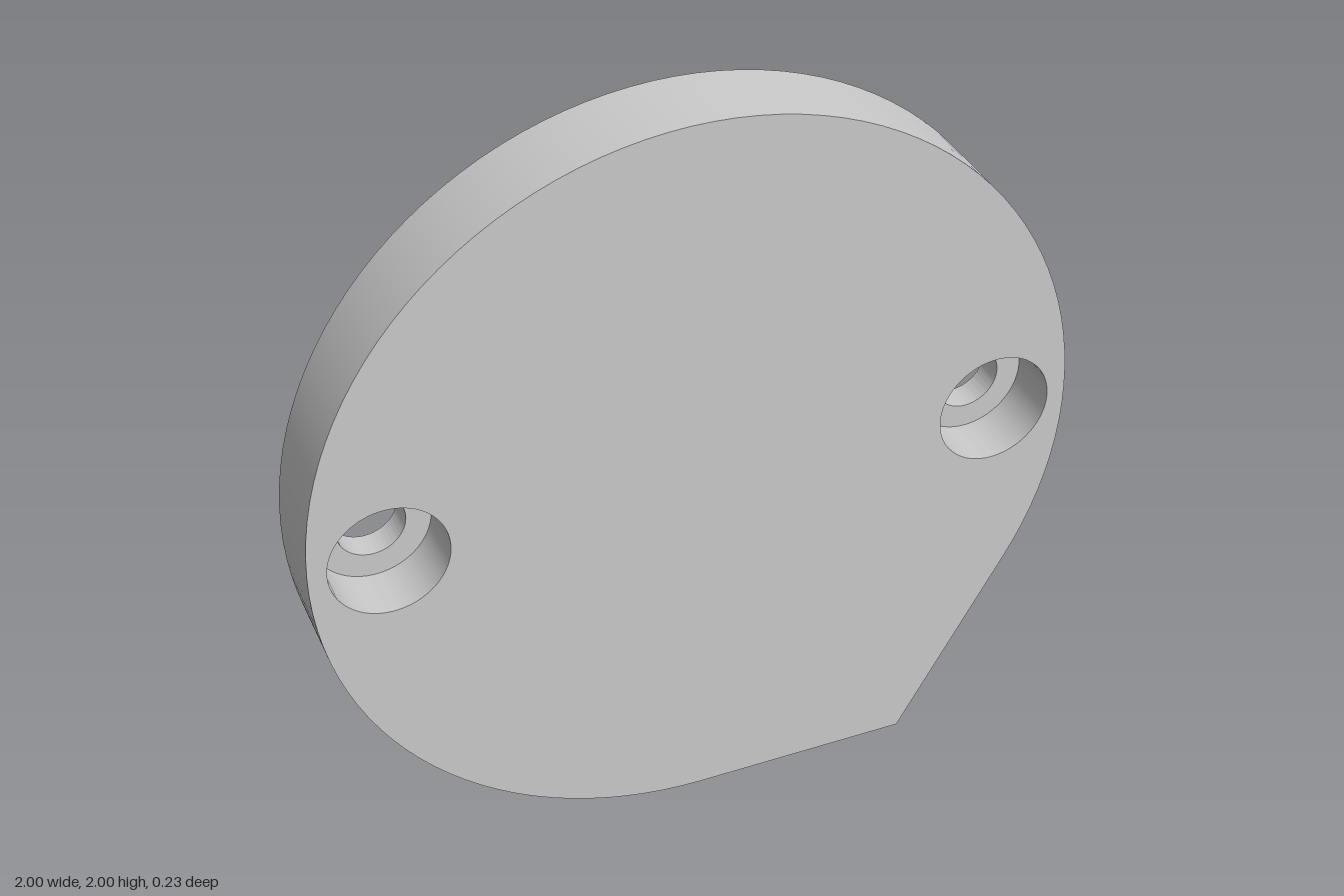
import * as THREE from 'three';
import { toCreasedNormals } from 'three/addons/utils/BufferGeometryUtils.js';

const T = 0.226;              // plate thickness
const DEPTH = 0.15;           // depth of counterbores and blind pockets
const R_BIG = 0.152, R_BOLT = 0.088;
const EDGE = Math.tan(Math.PI / 6); // length of each straight edge at the corner
const SEG = 96;

const boltCentres = [[-0.8, 0], [0.8, 0]];
const pocketCentres = Array.from({ length: 6 }, (_, i) => {
  const a = Math.PI / 6 + i * Math.PI / 3;
  return [0.75 * Math.cos(a), 0.75 * Math.sin(a)];
});

// Disc outline with one pointed corner, pierced by round holes [x, y, radius]
function faceGeometry(holes) {
  const shape = new THREE.Shape();
  shape.absarc(0, 0, 1, -Math.PI / 2, -Math.PI / 6, true);
  shape.lineTo(EDGE, -1);
  shape.closePath();
  for (const [x, y, r] of holes) {
    shape.holes.push(new THREE.Path().absarc(x, y, r, 0, Math.PI * 2, false));
  }
  return new THREE.ShapeGeometry(shape, SEG / 2);
}

// Inward-facing turned recess, its mouth at y = 0
function recessGeometry(profile) {
  const points = profile.map(([r, y]) => new THREE.Vector2(r, y));
  return toCreasedNormals(new THREE.LatheGeometry(points, SEG), 0.6);
}

export function createModel() {
  const model = new THREE.Group();
  model.name = 'mountingPlate';
  const material = new THREE.MeshStandardMaterial({ color: 0xcccccc });

  function add(name, geometry, x = 0, y = 0, z = 0) {
    const mesh = new THREE.Mesh(geometry, material);
    mesh.name = name;
    mesh.position.set(x, y + 1, z);
    model.add(mesh);
  }

  // Front face, open at the two counterbores
  add('frontFace', faceGeometry(boltCentres.map(([x, y]) => [x, y, R_BIG])), 0, 0, T / 2);

  // Back face, open at the bolt holes and six pockets, turned to face -z
  const back = faceGeometry([
    ...boltCentres.map(([x, y]) => [x, y, R_BOLT]),
    ...pocketCentres.map(([x, y]) => [x, y, R_BIG]),
  ]);
  back.index.array.reverse();
  back.computeVertexNormals();
  add('backFace', back, 0, 0, -T / 2);

  // Round rim and the two tangent edges that meet at the corner
  const rim = new THREE.CylinderGeometry(1, 1, T, SEG, 1, true, Math.PI / 3, Math.PI * 5 / 3);
  add('roundRim', rim.rotateX(Math.PI / 2));
  const edge = () => new THREE.PlaneGeometry(EDGE, T).rotateX(Math.PI / 2);
  add('bottomEdge', edge().translate(EDGE / 2, -1, 0));
  add('slantedEdge', edge().translate(-EDGE / 2, -1, 0).rotateZ(Math.PI / 3));

  // Counterbored bolt holes, wide end at the front
  const bolt = recessGeometry([[R_BIG, 0], [R_BIG, -DEPTH], [R_BOLT, -DEPTH], [R_BOLT, -T]]);
  bolt.rotateX(Math.PI / 2);
  for (const [x, y] of boltCentres) add('boltHole', bolt, x, y, T / 2);

  // Ring of blind pockets in the back
  const pocket = recessGeometry([[R_BIG, 0], [R_BIG, -DEPTH], [0, -DEPTH]]);
  pocket.rotateX(-Math.PI / 2);
  for (const [x, y] of pocketCentres) add('backPocket', pocket, x, y, -T / 2);

  return model;
}
